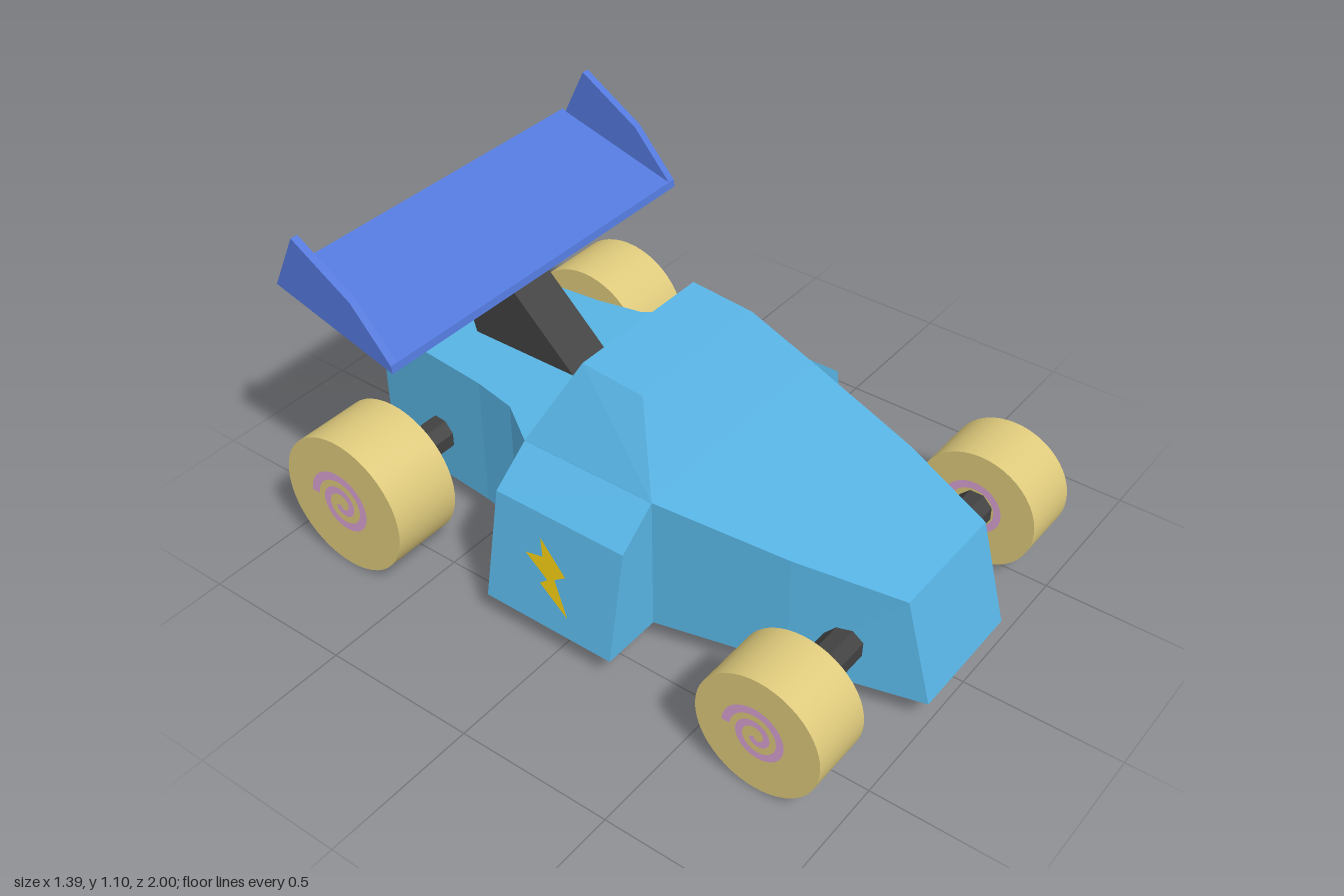
import * as THREE from 'three';

const mat = (name, color, extra = {}) => {
  const m = new THREE.MeshStandardMaterial({ color, ...extra });
  m.name = name;
  return m;
};

// Joins loops of points (counter-clockwise seen from outside the first loop) into a closed faceted solid.
function loft(loops) {
  const tris = [];
  const n = loops[0].length;
  for (let k = 0; k < loops.length - 1; k++) {
    const a = loops[k], b = loops[k + 1];
    for (let i = 0; i < n; i++) {
      const j = (i + 1) % n;
      tris.push(a[i], b[i], b[j], a[i], b[j], a[j]);
    }
  }
  const first = loops[0], last = loops[loops.length - 1];
  for (let i = 1; i < n - 1; i++) {
    tris.push(first[0], first[i], first[i + 1], last[0], last[i + 1], last[i]);
  }
  const g = new THREE.BufferGeometry();
  g.setAttribute('position', new THREE.Float32BufferAttribute(tris.flat(), 3));
  g.computeVertexNormals();
  return g;
}

// Extrudes a side profile given as [z, y] points across x0..x1.
function sideSlab(profile, x0, x1) {
  const shape = new THREE.Shape(profile.map(([z, y]) => new THREE.Vector2(-z, y)));
  const g = new THREE.ExtrudeGeometry(shape, { depth: x1 - x0, bevelEnabled: false });
  return g.rotateY(Math.PI / 2).translate(x0, 0, 0);
}

// Flat spiral ribbon, facing along x.
function spiralGeometry(radius) {
  const outer = [], inner = [], steps = 64;
  for (let i = 0; i <= steps; i++) {
    const t = i / steps, a = t * Math.PI * 2 * 1.95;
    const r = radius * (0.9 - 0.78 * t), half = radius * 0.12 * (1 - 0.25 * t);
    outer.push(new THREE.Vector2(Math.cos(a) * (r + half), Math.sin(a) * (r + half)));
    inner.unshift(new THREE.Vector2(Math.cos(a) * (r - half), Math.sin(a) * (r - half)));
  }
  return new THREE.ShapeGeometry(new THREE.Shape([...outer, ...inner])).rotateY(Math.PI / 2);
}

export function createModel() {
  const model = new THREE.Group();
  model.name = 'raceCar';
  const blue = mat('bodyBlue', 0x58b4e4);
  const wingBlue = mat('wingBlue', 0x5479dc);
  const sand = mat('wheelSand', 0xdeca7c);
  const dark = mat('darkGrey', 0x414141, { flatShading: true });
  const pink = mat('spiralPink', 0xd8a2d2, { side: THREE.DoubleSide });
  const yellow = mat('boltYellow', 0xe8c410, { side: THREE.DoubleSide });

  const add = (name, geometry, material, parent = model) => {
    const m = new THREE.Mesh(geometry, material);
    m.name = name;
    parent.add(m);
    return m;
  };

  // Hull stations: bottom z, top z, half width, top height
  const floor = 0.08;
  const stations = [
    [1, 0.91, 0.205, 0.41],
    [0.6, 0.6, 0.31, 0.465],
    [0.2, 0.2, 0.405, 0.53],
    [-0.26, -0.26, 0.405, 0.53],
    [-0.4, -0.4, 0.31, 0.53],
    [-0.55, -0.55, 0.28, 0.53],
    [-1, -1, 0.237, 0.53],
  ];
  add('hull', loft(stations.map(([zb, zt, w, y]) =>
    [[-w, floor, zb], [w, floor, zb], [w, y, zt], [-w, y, zt]])), blue);

  // Cockpit: tapered block with a slightly rising roof
  add('cockpit', loft([
    [[-0.26, 0.745, 0.06], [0.26, 0.745, 0.06], [0.26, 0.765, -0.155], [-0.26, 0.765, -0.155]],
    [[-0.405, 0.53, 0.2], [0.405, 0.53, 0.2], [0.405, 0.53, -0.26], [-0.405, 0.53, -0.26]],
  ]), blue);

  // Side pods with lightning bolts lying on their sloping walls
  const podProfile = [[0.4, floor], [0.605, floor], [0.535, 0.43], [0.4, 0.533]];
  const bolt = [[-0.085, 0.358], [0.017, 0.272], [-0.02, 0.248], [0.04, 0.146],
    [-0.07, 0.215], [-0.045, 0.236], [-0.132, 0.29], [-0.07, 0.302]];
  for (const side of [1, -1]) {
    const label = side > 0 ? 'left' : 'right';
    const profile = side > 0 ? podProfile : [...podProfile].reverse();
    add(`${label}SidePod`, loft([0.2, -0.26].map(z => profile.map(([x, y]) => [side * x, y, z]))), blue);

    const g = new THREE.ShapeGeometry(new THREE.Shape(bolt.map(([z, y]) => new THREE.Vector2(z, y))));
    const p = g.attributes.position;
    for (let i = 0; i < p.count; i++) {
      const z = p.getX(i), y = p.getY(i);
      p.setXYZ(i, side * (0.609 - (y - floor) * 0.2), y, z);
    }
    g.computeVertexNormals();
    add(`${label}LightningBolt`, g, yellow);
  }

  // Axles and wheels: z, radius, inner x, outer x, spiral radius
  const axles = [
    ['front', 0.75, 0.199, 0.467, 0.675, 0.108],
    ['rear', -0.75, 0.232, 0.452, 0.69, 0.124],
  ];
  for (const [label, z, r, x0, x1, spiralR] of axles) {
    const axle = add(`${label}Axle`, new THREE.CylinderGeometry(0.059, 0.059, x0 * 2 + 0.02, 8), dark);
    axle.geometry.rotateY(Math.PI / 8).rotateZ(Math.PI / 2);
    axle.position.set(0, r + 0.008, z);
    for (const side of [1, -1]) {
      const wheel = new THREE.Group();
      wheel.name = `${label}${side > 0 ? 'Left' : 'Right'}Wheel`;
      wheel.position.set(side * (x0 + x1) / 2, r, z);
      model.add(wheel);
      const width = x1 - x0;
      add('tyre', new THREE.CylinderGeometry(r, r, width, 48).rotateZ(Math.PI / 2), sand, wheel);
      for (const face of [1, -1]) {
        add('spiral', spiralGeometry(spiralR), pink, wheel).position.x = face * (width / 2 + 0.003);
      }
    }
  }

  // Rear wing on a leaning strut
  add('wingStrut', sideSlab([[-0.34, 0.52], [-0.735, 0.52], [-0.84, 0.89], [-0.68, 0.845]], -0.08, 0.08), dark);
  add('wingBlade', sideSlab([[-0.516, 0.79], [-0.955, 0.914], [-0.96, 0.938], [-0.52, 0.814]], -0.62, 0.62), wingBlue);
  const plate = [[-0.516, 0.79], [-0.955, 0.914], [-0.865, 1.098], [-0.655, 0.968], [-0.52, 0.814]];
  add('leftEndPlate', sideSlab(plate, 0.617, 0.642), wingBlue);
  add('rightEndPlate', sideSlab(plate, -0.642, -0.617), wingBlue);

  return model;
}
